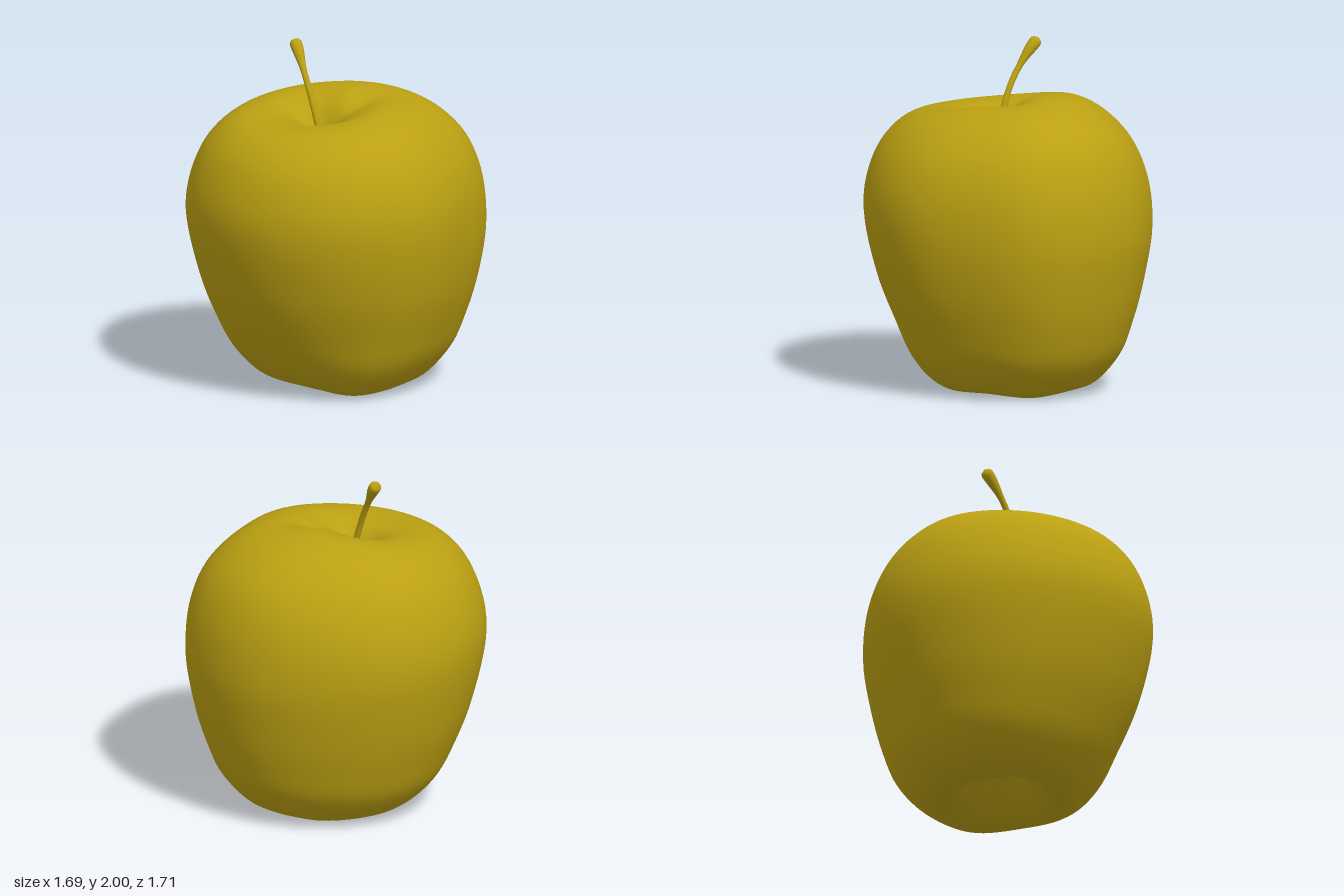
import * as THREE from 'three';

// Body profile rows from base hollow to stem hollow: radius, height toward +x, +z, -x, -z
const ROWS = [
  [0, 0.24, 0, 0.24, 0, 0.24, 0, 0.24],
  [0.07, 0.2, 0.07, 0.2, 0.07, 0.2, 0.07, 0.2],
  [0.17, 0.1, 0.16, 0.12, 0.18, 0.1, 0.18, 0.11],
  [0.3, 0.014, 0.28, 0.045, 0.32, 0.01, 0.32, 0.035],
  [0.44, 0.04, 0.4, 0.07, 0.46, 0.05, 0.5, 0.04],
  [0.6, 0.2, 0.53, 0.2, 0.61, 0.2, 0.67, 0.2],
  [0.7, 0.4, 0.65, 0.4, 0.7, 0.4, 0.755, 0.4],
  [0.79, 0.65, 0.765, 0.66, 0.785, 0.65, 0.82, 0.65],
  [0.845, 0.98, 0.857, 1.04, 0.85, 0.99, 0.86, 0.93],
  [0.825, 1.22, 0.835, 1.25, 0.825, 1.22, 0.825, 1.25],
  [0.735, 1.43, 0.745, 1.45, 0.72, 1.45, 0.72, 1.48],
  [0.56, 1.6, 0.6, 1.57, 0.54, 1.61, 0.51, 1.65],
  [0.36, 1.66, 0.38, 1.597, 0.36, 1.66, 0.27, 1.713],
  [0.2, 1.61, 0.2, 1.575, 0.2, 1.61, 0.16, 1.67],
  [0.08, 1.51, 0.08, 1.49, 0.08, 1.51, 0.07, 1.56],
  [0, 1.38, 0, 1.38, 0, 1.38, 0, 1.38],
];

// Smooth blend of four compass values around the axis
function around(right, front, left, back, a) {
  return (right + front + left + back) / 4 + (right - left) / 2 * Math.cos(a)
    + (front - back) / 2 * Math.sin(a) + (right + left - front - back) / 4 * Math.cos(2 * a);
}

// Swelling that peaks toward one compass angle, and one that peaks along the profile
const toward = (a, degrees, sharpness) =>
  Math.max(0, Math.cos(a - THREE.MathUtils.degToRad(degrees))) ** sharpness;
const near = (t, middle, width) => Math.exp(-(((t - middle) / width) ** 2));

function bodyGeometry(sides = 96, steps = 90) {
  const positions = [], index = [];
  for (let j = 0; j < sides; j++) {
    const a = j / sides * Math.PI * 2;
    const profile = new THREE.CatmullRomCurve3(ROWS.map((p) => new THREE.Vector3(
      around(p[0], p[2], p[4], p[6], a), around(p[1], p[3], p[5], p[7], a), 0)));
    // flattened sides at the back, with a fuller corner between them
    const flat = 1 - 0.055 * toward(a, 230, 6) - 0.03 * toward(a, 337, 16) + 0.028 * toward(a, 306, 14);
    // lobes under the base
    const lobes = 0.022 * toward(a, 30, 8) + 0.018 * toward(a, 235, 12) + 0.025 * toward(a, 300, 12);
    for (let i = 0; i <= steps; i++) {
      const t = i / steps, p = profile.getPoint(t);
      // fuller corners low down, slimmer shoulder at the back
      const fullness = near(t, 0.28, 0.09) * 0.08 * toward(a, 30, 8)
        + near(t, 0.36, 0.13) * 0.04 * toward(a, 148, 5)
        - near(t, 0.72, 0.09) * 0.025 * toward(a, 222, 6);
      const r = p.x * (flat + fullness);
      // puckered folds inside the base hollow
      const pucker = Math.sin(Math.PI * THREE.MathUtils.clamp(t / 0.2, 0, 1));
      const y = p.y + pucker * (0.008 * Math.cos(8 * a) + 0.007 * Math.cos(5 * a + 1))
        - lobes * near(t, 0.22, 0.06)
        - 0.04 * toward(a, 305, 8) * near(t, 0.84, 0.06); // dip in the rim
      // the stem hollow sits a little forward of the middle
      const shift = 0.09 * THREE.MathUtils.smoothstep(t, 0.72, 0.9);
      positions.push(r * Math.cos(a), Math.max(0, y), r * Math.sin(a) + shift);
      if (i < steps) {
        const b = j * (steps + 1) + i, c = ((j + 1) % sides) * (steps + 1) + i;
        index.push(b, b + 1, c, c, b + 1, c + 1);
      }
    }
  }
  const geometry = new THREE.BufferGeometry();
  geometry.setAttribute('position', new THREE.Float32BufferAttribute(positions, 3));
  geometry.setIndex(index);
  geometry.computeVertexNormals();
  return geometry;
}

// Curved stem, thin in the middle with a rounded knob at the tip
function stemGeometry() {
  const path = new THREE.CatmullRomCurve3([
    [0, 1.34, 0.09], [-0.02, 1.48, 0.105], [-0.06, 1.62, 0.11], [-0.11, 1.74, 0.105],
    [-0.175, 1.85, 0.088], [-0.235, 1.935, 0.066], [-0.282, 1.988, 0.05],
  ].map((p) => new THREE.Vector3(...p)));
  const geometry = new THREE.TubeGeometry(path, 60, 1, 16);
  const pos = geometry.attributes.position, uv = geometry.attributes.uv;
  const v = new THREE.Vector3();
  for (let i = 0; i < pos.count; i++) {
    const u = uv.getX(i), center = path.getPointAt(u);
    const knob = 0.018 * THREE.MathUtils.smoothstep(u, 0.7, 0.96);
    const tip = Math.sqrt(Math.max(0, 1 - Math.max(0, (u - 0.95) / 0.05) ** 2));
    v.fromBufferAttribute(pos, i).sub(center).multiplyScalar((0.018 + knob) * tip).add(center);
    pos.setXYZ(i, v.x, v.y, v.z);
  }
  geometry.computeVertexNormals();
  return geometry;
}

export function createModel() {
  const group = new THREE.Group();
  group.name = 'apple';
  const material = new THREE.MeshStandardMaterial({ color: 0xbba012 });
  const body = new THREE.Mesh(bodyGeometry(), material);
  body.name = 'body';
  const stem = new THREE.Mesh(stemGeometry(), material);
  stem.name = 'stem';
  group.add(body, stem);
  return group;
}
